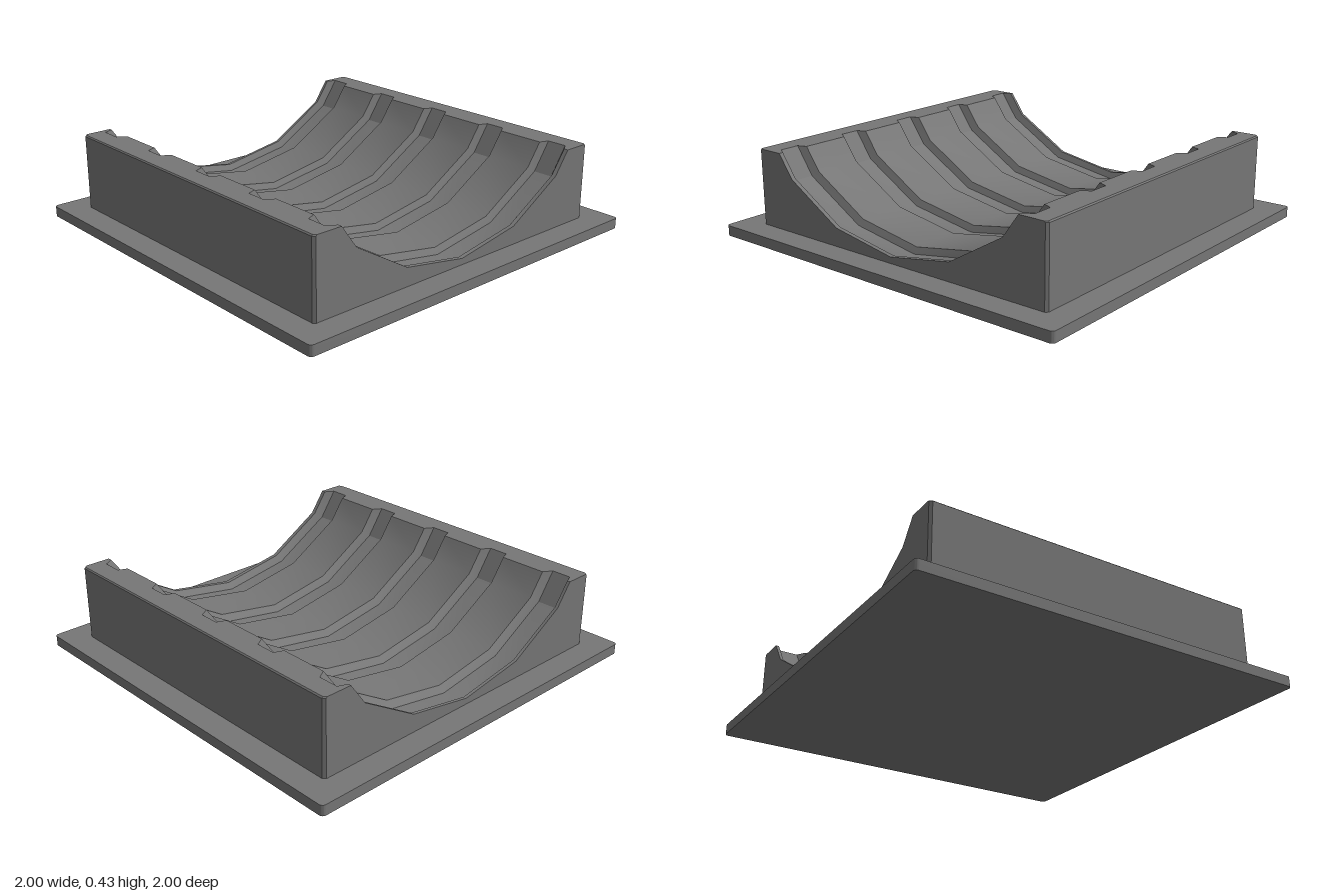
import * as THREE from 'three';
import { toCreasedNormals } from 'three/addons/utils/BufferGeometryUtils.js';

const TOP = 0.433, HALF = 0.872, CHAMFER = 0.012;
// Half profiles of the trough, from the rim down to the centre line
const LAND = [[0.725, TOP], [0.644, 0.32], [0.348, 0.143], [0, 0.083]];
const GROOVE = [[0.77, TOP], [0.675, 0.298], [0.362, 0.113], [0, 0.053]];

// Closed cross-section, anticlockwise seen from the front
function section(profile, inset) {
  const x = HALF - inset;
  const right = [[x, 0.04], [x, TOP - 0.006], [x - 0.006, TOP], ...profile];
  const left = right.slice(0, -1).reverse().map(([px, py]) => [-px, py]);
  return [...right, ...left];
}

// Trough block lofted through land and groove sections along z
function troughGeometry() {
  const rings = [
    { z: -HALF, pts: section(LAND, CHAMFER) },
    { z: -HALF + CHAMFER, pts: section(LAND, 0) },
  ];
  for (let i = -2; i <= 2; i++) {
    const c = i * 0.39;
    rings.push(
      { z: c - 0.076, pts: section(LAND, 0) },
      { z: c - 0.058, pts: section(GROOVE, 0) },
      { z: c + 0.042, pts: section(GROOVE, 0) },
      { z: c + 0.07, pts: section(LAND, 0) },
    );
  }
  rings.push(
    { z: HALF - CHAMFER, pts: section(LAND, 0) },
    { z: HALF, pts: section(LAND, CHAMFER) },
  );

  const pos = [];
  const put = (ring, i) => pos.push(...ring.pts[i], ring.z);
  const n = rings[0].pts.length;
  for (let s = 0; s < rings.length - 1; s++) {
    const a = rings[s], b = rings[s + 1];
    for (let i = 0; i < n; i++) {
      const j = (i + 1) % n;
      put(a, i); put(a, j); put(b, j);
      put(a, i); put(b, j); put(b, i);
    }
  }
  // End walls
  const front = rings[rings.length - 1], back = rings[0];
  const contour = front.pts.map(([x, y]) => new THREE.Vector2(x, y));
  if (THREE.ShapeUtils.isClockWise(contour)) {
    throw new Error('section must be anticlockwise');
  }
  for (const [a, b, c] of THREE.ShapeUtils.triangulateShape(contour, [])) {
    put(front, a); put(front, b); put(front, c);
    put(back, a); put(back, c); put(back, b);
  }
  const geo = new THREE.BufferGeometry();
  geo.setAttribute('position', new THREE.Float32BufferAttribute(pos, 3));
  return toCreasedNormals(geo, 0.42);
}

// Flat base with slightly rounded corners
function plateGeometry() {
  const r = 0.02, k = 1 - r, shape = new THREE.Shape();
  shape.absarc(k, k, r, 0, Math.PI / 2);
  shape.absarc(-k, k, r, Math.PI / 2, Math.PI);
  shape.absarc(-k, -k, r, Math.PI, Math.PI * 1.5);
  shape.absarc(k, -k, r, Math.PI * 1.5, Math.PI * 2);
  const geo = new THREE.ExtrudeGeometry(shape, { depth: 0.052, bevelEnabled: false, curveSegments: 4 });
  return toCreasedNormals(geo.rotateX(-Math.PI / 2), 0.42);
}

export function createModel() {
  const grey = new THREE.MeshStandardMaterial({ color: 0x777777 });
  grey.name = 'grey';
  const group = new THREE.Group();
  group.name = 'groovedCradle';

  const plate = new THREE.Mesh(plateGeometry(), grey);
  plate.name = 'basePlate';
  const trough = new THREE.Mesh(troughGeometry(), grey);
  trough.name = 'groovedTrough';
  group.add(plate, trough);
  return group;
}
